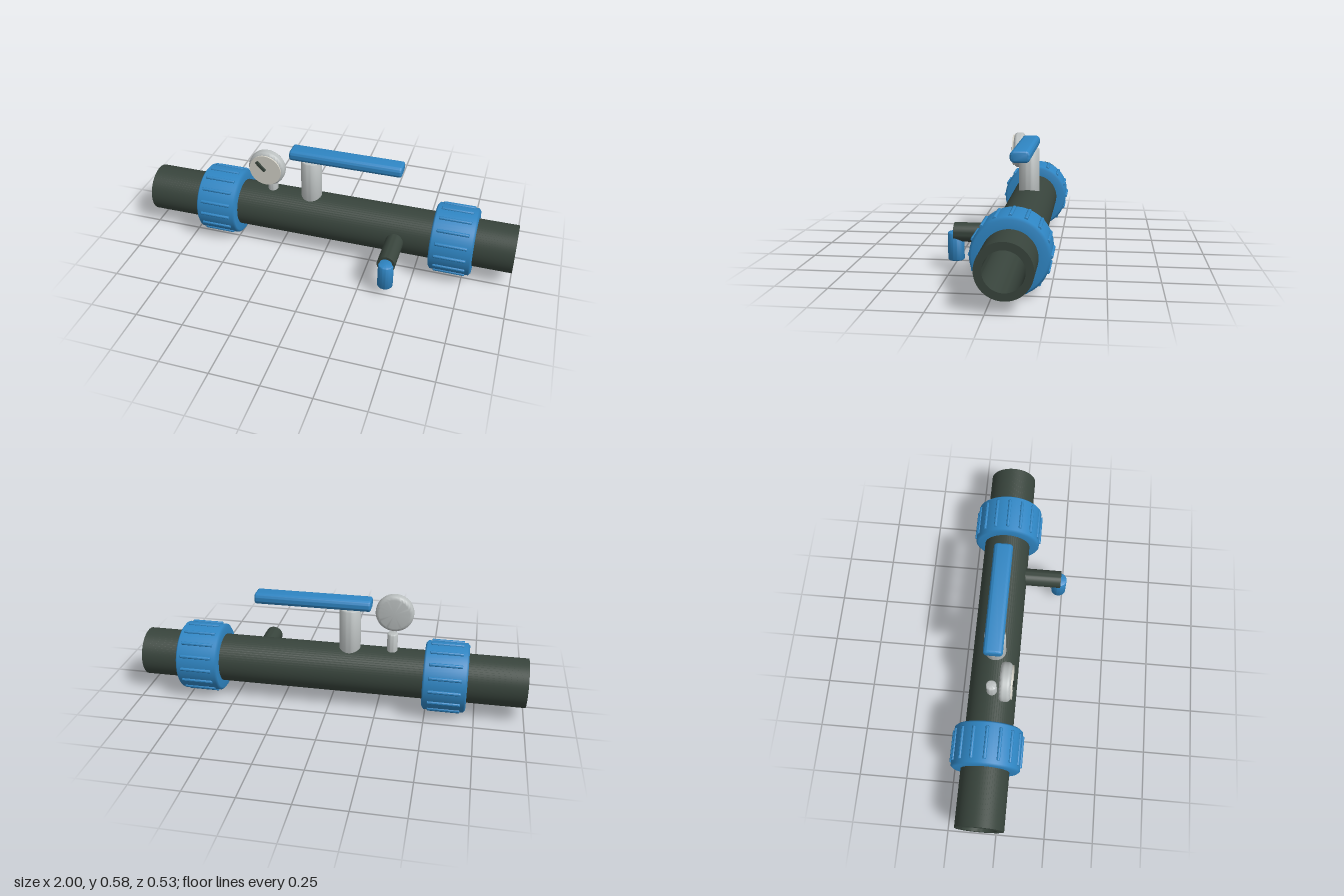
import * as THREE from 'three';
import { toCreasedNormals } from 'three/addons/utils/BufferGeometryUtils.js';

const mat = (name, color, side = THREE.FrontSide) => {
  const m = new THREE.MeshStandardMaterial({ color, side });
  m.name = name;
  return m;
};

export function createModel() {
  const dark = mat('dark green pipe', 0x38443c);
  const blue = mat('blue plastic', 0x2f86c4);
  const grey = mat('grey metal', 0xbbc0c0);
  const cream = mat('cream dial', 0xd6d4ca);

  const root = new THREE.Group();
  root.name = 'inlineValve';
  const AXIS_Y = 0.19, AXIS_Z = -0.08;

  const add = (name, geo, material, x, y, z, parent = root) => {
    const m = new THREE.Mesh(geo, material);
    m.name = name;
    m.position.set(x, y, z);
    parent.add(m);
    return m;
  };

  // Lathe from [radius, height] pairs, running bottom to top on the outside
  const lathe = (pts, seg = 48, crease = 0.6) =>
    toCreasedNormals(new THREE.LatheGeometry(pts.map(p => new THREE.Vector2(...p)), seg), crease);
  const tube = (ro, ri, len, seg) => {
    const h = len / 2;
    return lathe([[ri, -h], [ro, -h], [ro, h], [ri, h], [ri, -h]], seg);
  };
  // Solid cylinder with a small rounded edge at both ends
  const roundedRod = (r, len, b, seg = 40) => {
    const h = len / 2, pts = [[0, -h]];
    for (let i = 0; i <= 4; i++) {
      const a = (i / 4) * Math.PI / 2;
      pts.push([r - b + b * Math.sin(a), -h + b - b * Math.cos(a)]);
    }
    for (let i = 0; i <= 4; i++) {
      const a = (i / 4) * Math.PI / 2;
      pts.push([r - b + b * Math.cos(a), h - b + b * Math.sin(a)]);
    }
    pts.push([0, h]);
    return lathe(pts, seg, 0.9);
  };

  // Main pipe
  add('mainPipe', tube(0.125, 0.09, 2, 64).rotateZ(Math.PI / 2), dark, 0, AXIS_Y, AXIS_Z);

  // Ribbed union nuts, one near each end
  const nutGeo = new THREE.LatheGeometry(
    [[0.12, -0.11], [0.165, -0.11], [0.177, -0.1], [0.177, 0.1], [0.165, 0.11], [0.12, 0.11]]
      .map(p => new THREE.Vector2(...p)), 64).rotateZ(Math.PI / 2);
  const ribGeo = roundedRod(0.009, 0.165, 0.003, 12).rotateZ(Math.PI / 2);
  for (const [name, x] of [['rightNut', -0.595], ['leftNut', 0.685]]) {
    const nut = new THREE.Group();
    nut.name = name;
    nut.position.set(x, AXIS_Y, AXIS_Z);
    root.add(nut);
    add('nutBody', nutGeo, blue, 0, 0, 0, nut);
    for (let i = 0; i < 16; i++) {
      const a = (i / 16) * Math.PI * 2;
      add('gripRib', ribGeo, blue, 0, 0.177 * Math.cos(a), 0.177 * Math.sin(a), nut);
    }
  }

  // Valve stem and lever handle
  add('valveStem', roundedRod(0.055, 0.342, 0.006), grey, -0.097, 0.361, AXIS_Z);
  const w = 0.049, h = 0.029, r = 0.024, bev = 0.012;
  const iw = w - bev, ih = h - bev, ir = r - bev;
  const section = new THREE.Shape();
  section.absarc(iw - ir, ih - ir, ir, 0, Math.PI / 2);
  section.absarc(-iw + ir, ih - ir, ir, Math.PI / 2, Math.PI);
  section.absarc(-iw + ir, -ih + ir, ir, Math.PI, Math.PI * 1.5);
  section.absarc(iw - ir, -ih + ir, ir, Math.PI * 1.5, Math.PI * 2);
  const handle = new THREE.ExtrudeGeometry(section, {
    depth: 0.595 - 2 * bev, bevelThickness: bev, bevelSize: bev, bevelSegments: 4, curveSegments: 6,
  });
  handle.center().rotateY(Math.PI / 2);
  add('leverHandle', toCreasedNormals(handle, 0.7), blue, 0.0925, 0.559, AXIS_Z);

  // Pressure gauge: post, case, dial and needle
  const GX = -0.315, GY = 0.49;
  add('gaugePost', roundedRod(0.027, 0.22, 0.006, 28), grey, GX, 0.3, AXIS_Z);
  add('gaugeCase', roundedRod(0.098, 0.057, 0.02, 56).rotateX(Math.PI / 2), grey, GX, GY, -0.0065);
  add('gaugeDial', new THREE.CylinderGeometry(0.085, 0.085, 0.008, 56).rotateX(Math.PI / 2), cream, GX, GY, 0.026);
  const needle = add('gaugeNeedle', new THREE.BoxGeometry(0.016, 0.066, 0.01), dark, -0.337, 0.514, 0.035);
  needle.rotation.z = 0.75;

  // Side spout with a downward nozzle
  add('spoutPipe', tube(0.047, 0.034, 0.238, 40).rotateX(Math.PI / 2), dark, 0.39, AXIS_Y, 0.116);
  add('spoutNozzle', roundedRod(0.04, 0.137, 0.005), blue, 0.39, 0.1215, 0.228);

  return root;
}
